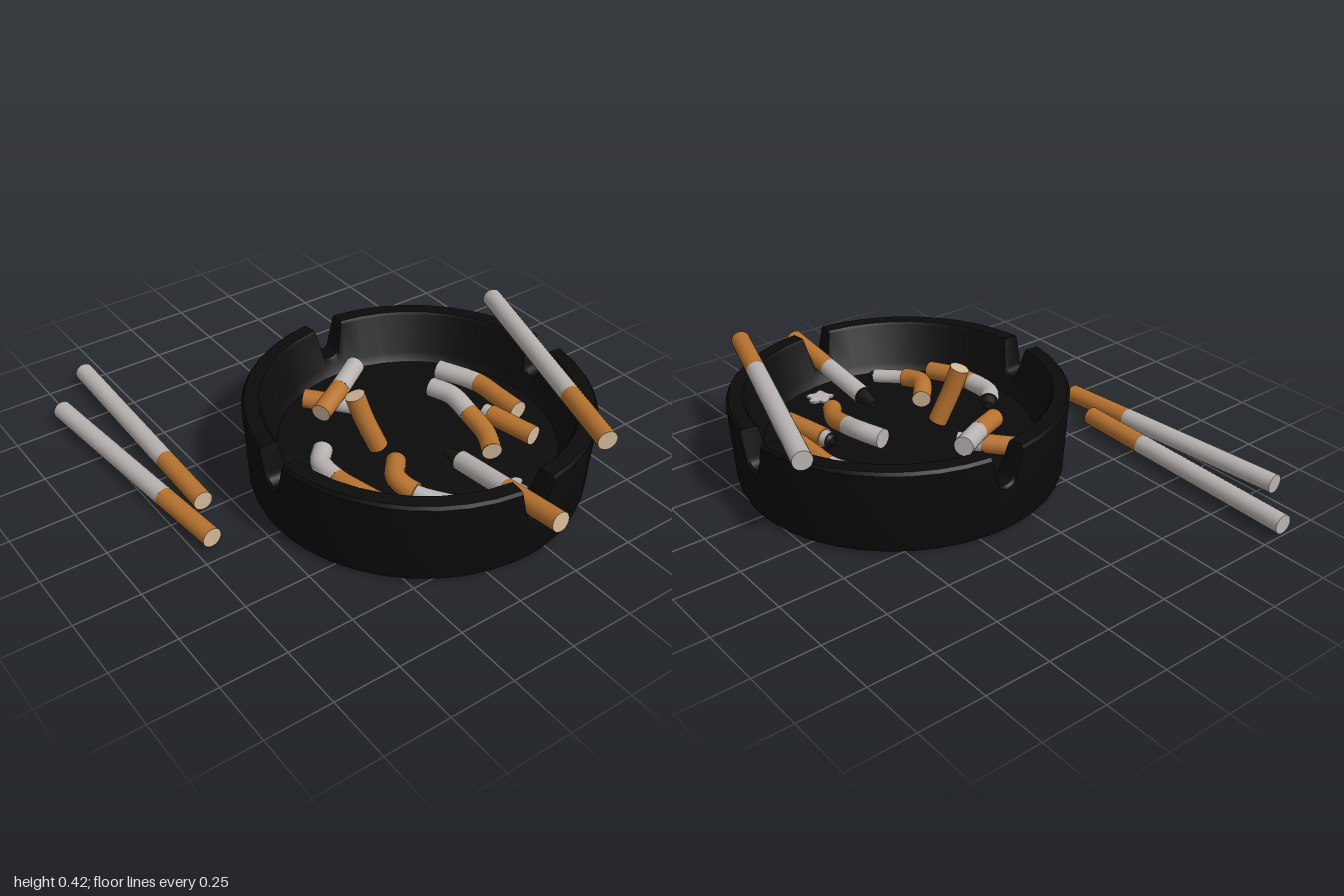
import * as THREE from 'three';
import { toCreasedNormals } from 'three/addons/utils/BufferGeometryUtils.js';

const mat = (name, color, side = THREE.FrontSide) => {
  const m = new THREE.MeshStandardMaterial({ color, side });
  m.name = name;
  return m;
};
const R = 0.037, FLOOR = 0.14, REST = FLOOR + R;

// Height of the rim at a sideways distance s from the middle of a notch
function rimHeight(s) {
  const top = 0.335, low = 0.2, round = 0.04;
  if (s >= 0.064) return top;
  if (s < round) return low + round - Math.sqrt(round * round - s * s);
  return low + round + ((s - round) / (0.064 - round)) * (top - low - round);
}

// Cross-section of the dish from the underside, round the rim, to the floor
function dishSection(h) {
  const outer = 0.622 + 0.016 * (h / 0.335);
  const inner = 0.54 + 0.028 * ((h - 0.17) / 0.165);
  return [[0, 0], [0.595, 0], [0.614, 0.01], [0.622, 0.035], [outer, h - 0.012], [outer - 0.009, h],
    [inner + 0.008, h], [inner, h - 0.01], [0.54, 0.17], [0.515, FLOOR], [0, FLOOR]];
}

function dishGeometry() {
  const offsets = [0, 0.016, 0.028, 0.036, 0.04, 0.064];
  const side = offsets.map(s => [Math.asin(s / 0.6), rimHeight(s)]);
  const quarter = [...side.slice(1).reverse().map(([a, h]) => [-a, h]), ...side];
  const edge = side[side.length - 1][0];
  for (let i = 1; i < 9; i++) quarter.push([edge + (i / 9) * (Math.PI / 2 - 2 * edge), 0.335]);
  const rings = [];
  for (let q = 0; q < 4; q++) {
    for (const [a, h] of quarter) {
      const t = a + q * Math.PI / 2;
      rings.push(dishSection(h).map(([r, y]) => [r * Math.cos(t), y, r * Math.sin(t)]));
    }
  }
  const pos = [];
  rings.forEach((ring, i) => {
    const next = rings[(i + 1) % rings.length];
    const last = ring.length - 2;
    for (let j = 0; j <= last; j++) {
      if (j < last) pos.push(...ring[j], ...ring[j + 1], ...next[j + 1]);
      else pos.push(...ring[j], ...ring[j + 1], ...next[j]);
      if (j > 0 && j < last) pos.push(...ring[j], ...next[j + 1], ...next[j]);
    }
  });
  const g = new THREE.BufferGeometry();
  g.setAttribute('position', new THREE.Float32BufferAttribute(pos, 3));
  return toCreasedNormals(g, 0.6);
}

export function createModel() {
  const model = new THREE.Group();
  model.name = 'ashtray';
  const black = mat('black dish', 0x0b0b0b);
  const paper = mat('white paper', 0xb9b4b2);
  const filter = mat('orange filter wrap', 0xb87330);
  const cream = mat('cream filter end', 0xd2b797);
  const burnt = mat('burnt tip', 0x17150f);

  const add = (parent, name, geometry, material) => {
    const m = new THREE.Mesh(geometry, material);
    m.name = name;
    parent.add(m);
    return m;
  };

  const cap = (parent, name, at, dir, r, material) => {
    const m = add(parent, name, new THREE.CircleGeometry(r, 20), material);
    m.position.copy(at);
    m.quaternion.setFromUnitVectors(new THREE.Vector3(0, 0, 1), dir);
  };

  // Path runs from the filter end to the lit end; split is the index where paper starts
  function cigarette(name, path, split, { tip = 0, r = R } = {}) {
    const g = new THREE.Group();
    g.name = name;
    model.add(g);
    const curve = new THREE.CatmullRomCurve3(path.map(p => new THREE.Vector3(...p)));
    const cut = split / (path.length - 1);
    const piece = (label, a, b, radius, material) => {
      if (b - a < 0.001) return;
      const pts = [];
      for (let i = 0; i <= 10; i++) pts.push(curve.getPoint(a + (b - a) * i / 10));
      add(g, label, new THREE.TubeGeometry(new THREE.CatmullRomCurve3(pts), 14, radius, 20), material);
    };
    piece('filter', 0, cut, R, filter);
    piece('paper', cut, 1, r, paper);
    const end = curve.getPoint(1), dir = curve.getTangent(1);
    cap(g, 'filterEnd', curve.getPoint(0), curve.getTangent(0).negate(), R, cream);
    cap(g, 'paperEnd', end, dir, cut < 0.999 ? r : R, tip ? burnt : paper);
    if (r < R) cap(g, 'filterShoulder', curve.getPoint(cut), curve.getTangent(cut), R, filter);
    if (tip) {
      const ash = add(g, 'burntTip', new THREE.CylinderGeometry(0.016, r * 0.85, tip, 9), burnt);
      ash.position.copy(end).addScaledVector(dir, tip / 2);
      ash.quaternion.setFromUnitVectors(new THREE.Vector3(0, 1, 0), dir);
    }
  }

  // Round dish with four rest notches
  add(model, 'dish', dishGeometry(), black).position.set(0.157, 0, 0.243);

  // Whole cigarettes: two beside the dish, one across the rim
  cigarette('looseCigaretteInner', [[-0.615, 0.047, 0], [-0.608, 0.047, -0.29], [-0.59, 0.047, -1]], 1);
  cigarette('looseCigaretteOuter', [[-0.69, 0.047, 0.19], [-0.717, 0.047, -0.1], [-0.78, 0.047, -0.805]], 1);
  cigarette('rimCigarette', [[0.463, 0.38, 0.875], [0.55, 0.38, 0.605], [0.77, 0.38, -0.07]], 1);

  // Lit cigarette resting in the front notch
  cigarette('restingCigarette', [[0.157, 0.254, 0.99], [0.157, 0.222, 0.73], [0.157, 0.192, 0.49]], 1, { tip: 0.075 });

  // Stubbed-out ends
  cigarette('uprightStub', [[-0.065, 0.372, 0.158], [-0.04, 0.275, 0.18], [0.005, 0.15, 0.208]], 2);
  cigarette('crossedStubTop', [[-0.1, 0.215, -0.005], [0.035, 0.235, -0.075], [0.16, 0.25, -0.15]], 1);
  cigarette('crossedStubUnder', [[-0.065, REST, -0.165], [0.01, REST, -0.075], [0.07, REST, 0]], 1, { r: 0.033 });
  cigarette('bentStubLeft', [[-0.2, REST, 0.525], [-0.235, REST + 0.01, 0.42], [-0.255, REST + 0.01, 0.32],
    [-0.25, REST + 0.01, 0.21], [-0.2, REST + 0.01, 0.15]], 2, { tip: 0.03 });
  cigarette('bentStubFront', [[-0.02, REST, 0.345], [-0.09, REST + 0.015, 0.44], [-0.075, REST + 0.005, 0.53],
    [0, REST - 0.005, 0.635]], 2, { r: 0.028, tip: 0.02 });
  cigarette('bentStubRight', [[0.295, REST, 0.5], [0.34, REST + 0.01, 0.41], [0.352, REST + 0.03, 0.3],
    [0.355, REST + 0.05, 0.2], [0.328, REST + 0.05, 0.11]], 2);
  cigarette('bentStubFar', [[0.54, REST, 0.365], [0.54, REST, 0.25], [0.538, REST, 0.135], [0.475, REST, -0.025]], 2);
  cigarette('shortStub', [[0.48, REST, 0.515], [0.46, REST, 0.42], [0.442, REST, 0.325], [0.436, REST, 0.295]], 2,
    { r: 0.031, tip: 0.012 });

  // Ragged flake of ash on the floor
  const flake = new THREE.Shape();
  for (let i = 0; i < 24; i++) {
    const a = i / 24 * Math.PI * 2, r = 0.047 + 0.009 * Math.sin(5 * a) + 0.004 * Math.cos(9 * a);
    flake[i ? 'lineTo' : 'moveTo'](r * Math.cos(a), r * Math.sin(a));
  }
  const ash = add(model, 'ashFlake', new THREE.ExtrudeGeometry(flake, { depth: 0.008, bevelEnabled: false }), paper);
  ash.rotation.x = -Math.PI / 2;
  ash.position.set(0.25, FLOOR, 0.66);

  return model;
}
